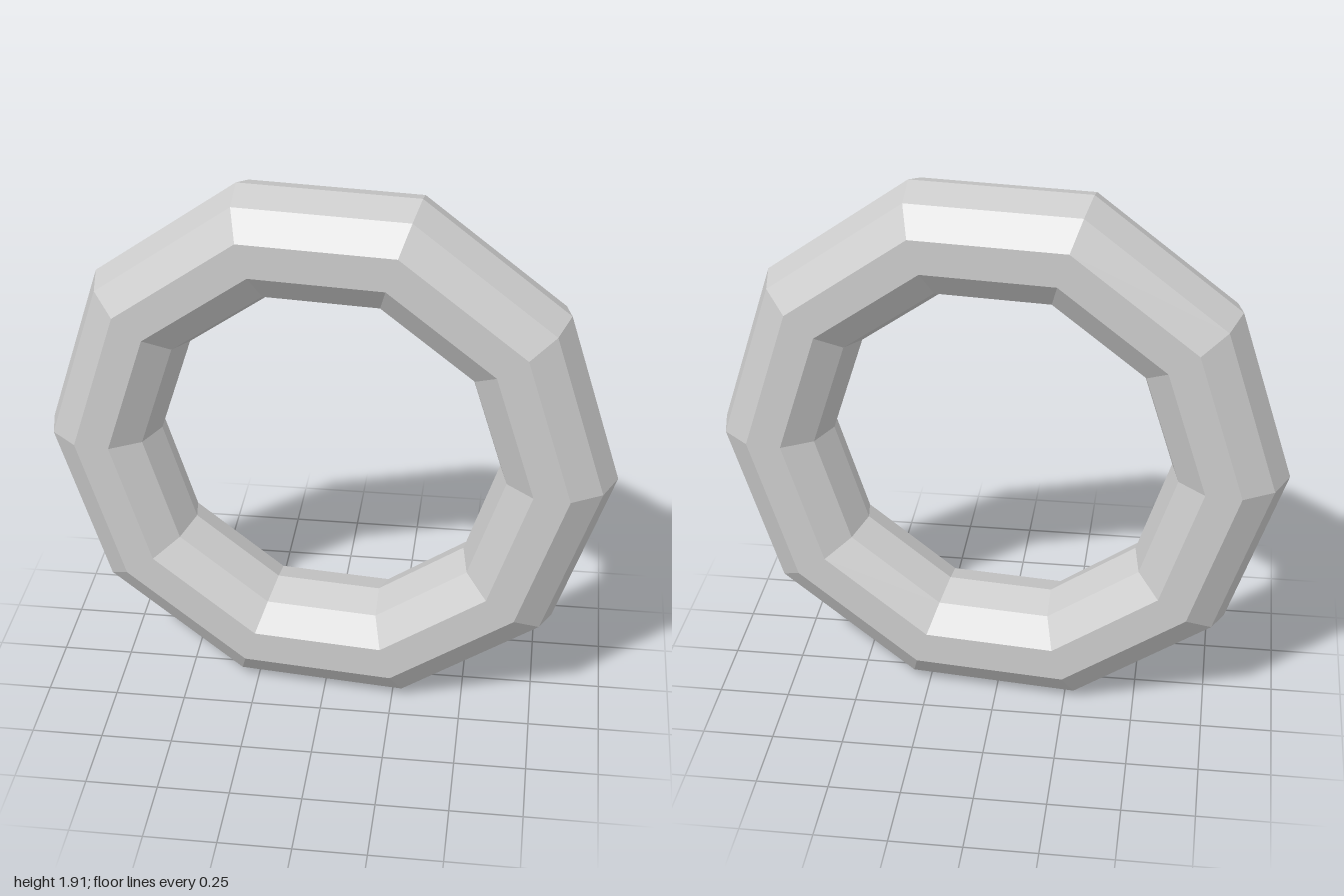
import * as THREE from 'three';

export function createModel() {
  const group = new THREE.Group();
  group.name = 'ringModel';

  // Ten-sided ring with a ten-sided tube, upright and turned slightly about y
  const ringRadius = 0.804, tubeRadius = 0.201, sides = 10;
  const ring = new THREE.Mesh(
    new THREE.TorusGeometry(ringRadius, tubeRadius, sides, sides),
    new THREE.MeshStandardMaterial({ color: 0xcccccc, flatShading: true })
  );
  ring.name = 'ring';
  ring.rotation.y = -0.1;

  // Rest the flat bottom facet on the ground
  ring.position.y = (ringRadius + tubeRadius) * Math.cos(Math.PI / sides);
  group.add(ring);

  return group;
}
